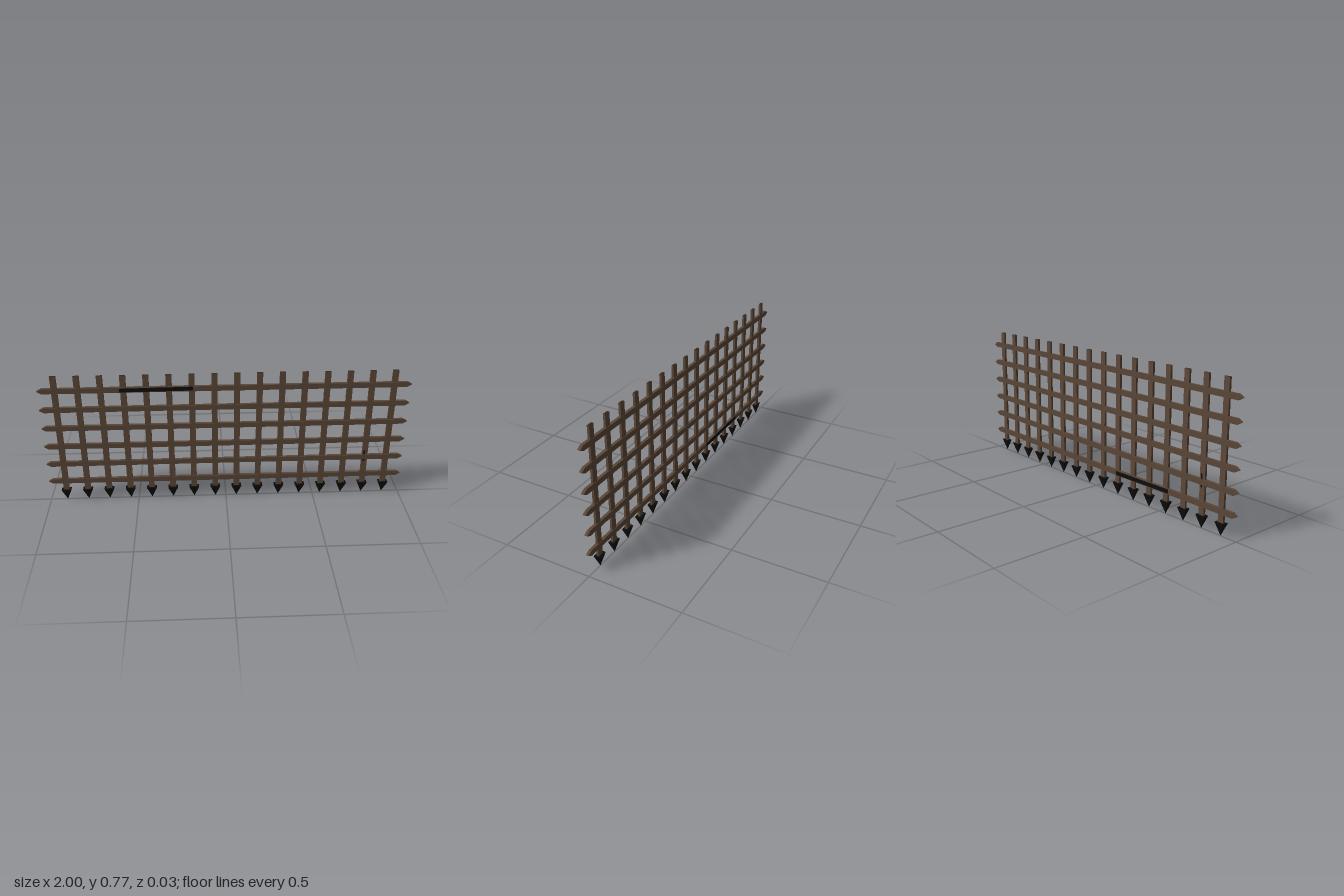
import * as THREE from 'three';

const mat = (name, color) => new THREE.MeshStandardMaterial({ name, color, flatShading: true });

export function createModel() {
  const wood = mat('wood', 0x5c4838);
  const railWood = mat('railWood', 0x5a4737);
  const endGrain = mat('endGrain', 0x3a271e);
  const iron = mat('darkIron', 0x0e0d0d);

  const group = new THREE.Group();
  group.name = 'portcullis';
  const add = (name, geometry, material, x, y, z = 0) => {
    const mesh = new THREE.Mesh(geometry, material);
    mesh.name = name;
    mesh.position.set(x, y, z);
    group.add(mesh);
    return mesh;
  };

  const barGeo = new THREE.BoxGeometry(0.032, 0.705, 0.0125);
  const barMats = [wood, wood, endGrain, endGrain, wood, wood];

  // Rectangular downward spike: a four-sided cone turned to face the axes
  const spikeGeo = new THREE.ConeGeometry(Math.SQRT1_2, 0.068, 4)
    .rotateY(Math.PI / 4)
    .rotateX(Math.PI)
    .scale(0.055, 1, 0.032);

  // Upright bars, each with an iron spike
  for (let i = 0; i < 16; i++) {
    const x = -0.907 + i * 0.1209;
    add('uprightBar', barGeo, barMats, x, 0.4175);
    add('spike', spikeGeo, iron, x, 0.034);
  }

  // Rail with wedge-pointed ends
  const h = 0.0145, shoulder = 0.975, depth = 0.016;
  const outline = new THREE.Shape([
    [-1, 0], [-shoulder, -h], [shoulder, -h], [1, 0], [shoulder, h], [-shoulder, h],
  ].map(([x, y]) => new THREE.Vector2(x, y)));
  const railGeo = new THREE.ExtrudeGeometry(outline, { depth, bevelEnabled: false })
    .translate(0, 0, -depth / 2);
  const railY = (i) => 0.124 + i * 0.1126;
  for (let i = 0; i < 6; i++) add('crossRail', railGeo, railWood, 0, railY(i));

  // Dark iron strips: front of the top rail and back of the bottom rail
  const stripGeo = new THREE.BoxGeometry(0.39, 0.022, 0.001);
  add('frontStrip', stripGeo, iron, -0.37, railY(5), 0.0084).rotation.z = 0.01;
  add('backStrip', stripGeo, iron, -0.37, railY(0), -0.0084).rotation.z = -0.01;

  // Small dark cracks in one upright on each face
  const crackGeo = new THREE.BoxGeometry(0.009, 0.07, 0.001);
  add('frontCrack', crackGeo, iron, 0.782, 0.245, 0.0064);
  add('backCrack', crackGeo, iron, -0.782, 0.245, -0.0064);

  return group;
}
